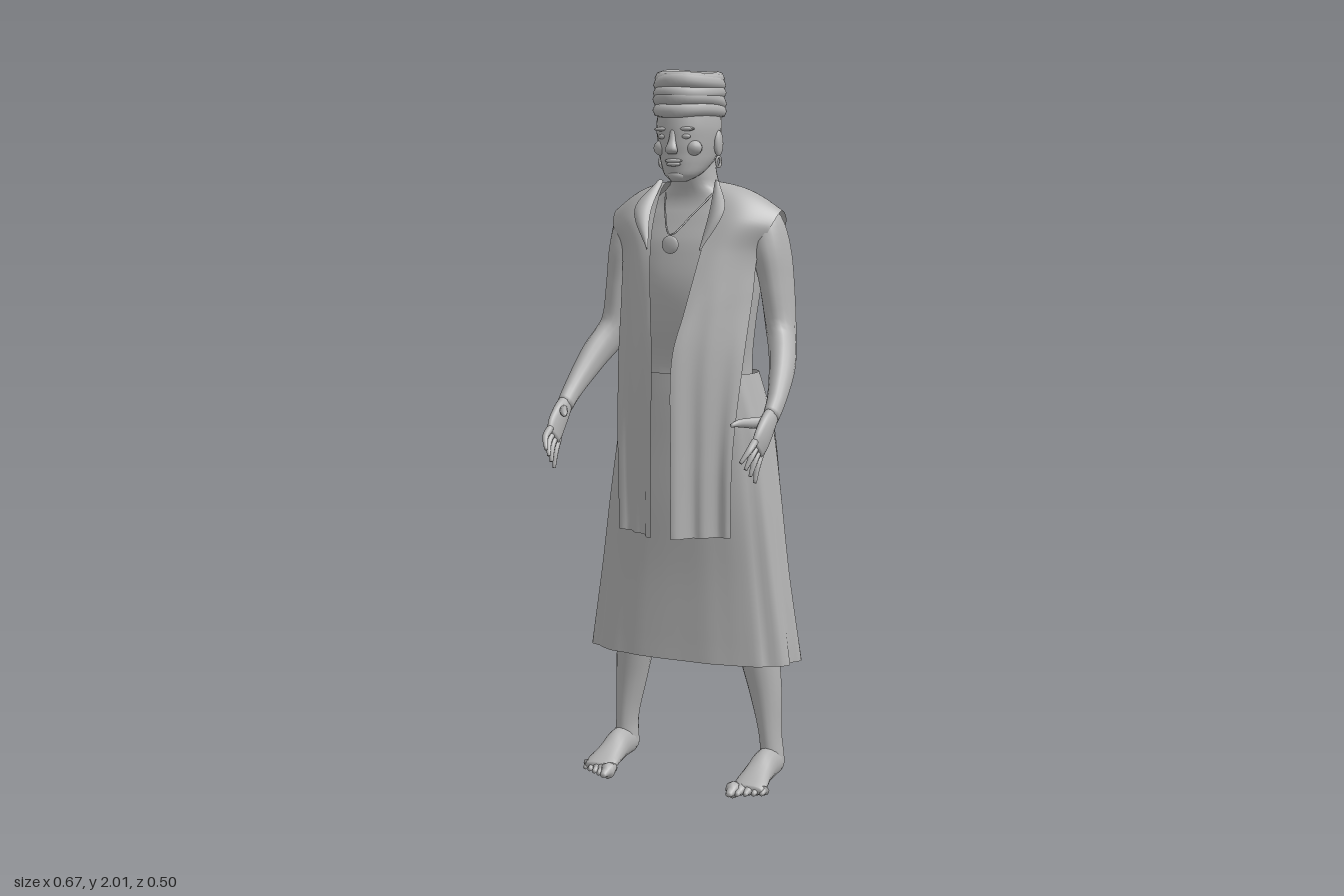
import * as THREE from 'three';

const V = (x, y, z) => new THREE.Vector3(x, y, z);
const grey = new THREE.MeshStandardMaterial({ color: 0xb2b2b2, side: THREE.DoubleSide });
grey.name = 'warm stone grey';

function build(verts, index) {
  const g = new THREE.BufferGeometry();
  g.setAttribute('position', new THREE.Float32BufferAttribute(verts, 3));
  g.setIndex(index);
  g.computeVertexNormals();
  return g;
}

// Smooth body along [x, y, z, radiusAcross, radiusOther] stations.
// flat keeps every ring horizontal, open leaves the ends uncapped, p squares the section.
function limb(pts, { seg = 16, steps = 4, flat = false, open = false, p = 2, warp = null } = {}) {
  const path = new THREE.CatmullRomCurve3(pts.map(q => V(q[0], q[1], q[2])));
  const radii = new THREE.CatmullRomCurve3(pts.map(q => V(q[3], q[4], 0)));
  const rows = (pts.length - 1) * steps, verts = [], index = [];
  const pow = c => Math.sign(c) * Math.abs(c) ** (2 / p);
  for (let j = 0; j <= rows; j++) {
    const t = j / rows, c = path.getPoint(t), r = radii.getPoint(t);
    const dir = flat ? V(0, 1, 0) : path.getTangent(t);
    const s = V(1, 0, 0).addScaledVector(dir, -dir.x).normalize();
    const o = dir.clone().cross(s);
    for (let i = 0; i < seg; i++) {
      const a = i / seg * Math.PI * 2, k = warp ? warp(a, t) : 1;
      const v = c.clone().addScaledVector(s, r.x * k * pow(Math.cos(a)))
        .addScaledVector(o, r.y * k * pow(Math.sin(a)));
      verts.push(v.x, v.y, v.z);
    }
  }
  for (let j = 0; j < rows; j++) for (let i = 0; i < seg; i++) {
    const a = j * seg + i, b = j * seg + (i + 1) % seg;
    index.push(a, b, a + seg, b, b + seg, a + seg);
  }
  if (!open) {
    const n = verts.length / 3, last = rows * seg, a = pts[0], b = pts[pts.length - 1];
    verts.push(a[0], a[1], a[2], b[0], b[1], b[2]);
    for (let i = 0; i < seg; i++) {
      const k = (i + 1) % seg;
      index.push(n, k, i, n + 1, last + i, last + k);
    }
  }
  return build(verts, index);
}

// Cloth stretched between two edge curves, with a bulge [y, z] per row.
function cloth(inner, outer, bulge, nu = 10, nv = 60, fold = 0) {
  const curve = a => new THREE.CatmullRomCurve3(a.map(q => V(...q)));
  const A = curve(inner), B = curve(outer), C = curve(bulge.map(q => [0, ...q]));
  const verts = [], index = [];
  for (let j = 0; j <= nv; j++) for (let i = 0; i <= nu; i++) {
    const t = j / nv, u = i / nu;
    const v = A.getPoint(t).lerp(B.getPoint(t), u).addScaledVector(C.getPoint(t), Math.sin(u * Math.PI));
    v.z += fold * Math.max(0, 1 - t * 2.6) * Math.sin(u * 15);
    verts.push(v.x, v.y, v.z);
    if (i < nu && j < nv) {
      const a = j * (nu + 1) + i, b = a + nu + 1;
      index.push(a, a + 1, b, a + 1, b + 1, b);
    }
  }
  return build(verts, index);
}

export function createModel() {
  const model = new THREE.Group();
  const add = (name, geo, x = 0, y = 0, z = 0) => {
    const m = new THREE.Mesh(geo, grey);
    m.name = name;
    m.position.set(x, y, z);
    model.add(m);
    return m;
  };
  const ball = (name, x, y, z, rx, ry, rz) =>
    add(name, new THREE.SphereGeometry(1, 14, 10), x, y, z).scale.set(rx, ry, rz);

  // Torso and neck
  add('torso', limb([
    [0, 1.08, -.1, .175, .1], [0, 1.18, -.105, .168, .088], [0, 1.3, -.1, .178, .108],
    [0, 1.42, -.105, .193, .122], [0, 1.52, -.115, .2, .115], [0, 1.6, -.12, .18, .09],
    [0, 1.645, -.115, .12, .072], [0, 1.685, -.1, .068, .064], [0, 1.74, -.09, .06, .066],
    [0, 1.8, -.085, .06, .068]], { flat: true, seg: 28, p: 2.2 }));

  // Head and face
  add('head', limb([
    [0, 1.692, .005, .022, .026], [0, 1.712, -.018, .05, .058], [0, 1.75, -.05, .07, .097],
    [0, 1.79, -.058, .079, .109], [0, 1.84, -.062, .085, .114], [0, 1.9, -.065, .08, .11],
    [0, 1.945, -.065, .06, .085], [0, 1.965, -.065, .015, .02]], { flat: true, seg: 24 }));
  add('nose', limb([[0, 1.83, .046, .007, .006], [0, 1.8, .052, .01, .01],
    [0, 1.775, .058, .019, .012], [0, 1.765, .05, .012, .007]], { flat: true, seg: 10 }));
  for (const [y, w] of [[1.747, .026], [1.738, .022]]) ball('lip', 0, y, .043, w, .006, .011);
  ball('chin', 0, 1.708, .025, .025, .016, .017);
  for (const s of [1, -1]) {
    ball('eye', s * .034, 1.812, .038, .014, .007, .009);
    ball('brow', s * .036, 1.832, .038, .024, .006, .013);
    ball('cheek', s * .045, 1.782, .015, .026, .022, .022);
    ball('ear', s * .083, 1.795, -.072, .011, .036, .022);
    const ring = add('earring', new THREE.TorusGeometry(.014, .004, 6, 14), s * .086, 1.745, -.066);
    ring.rotation.y = Math.PI / 2;
  }

  // Head wrap: stacked twisted bands around an open crown
  const bands = [[1.884, .003, .076], [1.908, -.008, .076], [1.932, .006, .075], [1.953, -.007, .074], [1.971, .008, .07]];
  bands.forEach(([y, tilt, rx], k) => {
    const loop = Array.from({ length: 20 }, (_, i) => {
      const a = i / 20 * Math.PI * 2;
      return V(rx * Math.cos(a), y - tilt * Math.sin(a + k * .15) + .002 * Math.sin(3 * a + k),
        -.065 + (rx + .034) * Math.sin(a));
    });
    add('headWrapBand', new THREE.TubeGeometry(new THREE.CatmullRomCurve3(loop, true), 48, .0195, 8, true));
  });

  // Long skirt with folds gathering towards the sides and hem
  add('skirt', limb([
    [0, .35, -.106, .312, .126], [0, .42, -.106, .303, .123], [0, .6, -.104, .278, .117],
    [0, .8, -.109, .254, .127], [0, 1, -.115, .227, .133], [0, 1.1, -.108, .202, .126],
    [0, 1.165, -.1, .185, .116]], {
    flat: true, open: true, seg: 96, steps: 5, p: 2.5,
    warp: (a, t) => 1 + (1 - t) * (.012 + .03 * Math.cos(a) ** 2) * (Math.sin(13 * a + 2 * t) * .6 + Math.sin(22 * a) * .3),
  }));

  for (const s of [1, -1]) {
    const m = pts => pts.map(q => [q[0] * s, ...q.slice(1)]);

    // Arm, hand and fingers
    add('arm', limb(m([
      [.178, 1.605, -.12, .025, .03], [.198, 1.575, -.12, .052, .062], [.22, 1.5, -.128, .05, .078],
      [.237, 1.4, -.13, .044, .072], [.256, 1.28, -.112, .04, .056], [.288, 1.2, -.04, .036, .046],
      [.308, 1.11, .055, .025, .031], [.31, 1.07, .1, .021, .027]])));
    add('palm', limb(m([[.31, 1.08, .09, .02, .024], [.309, 1.05, .125, .019, .036],
      [.307, 1.015, .16, .015, .042], [.303, .99, .182, .011, .036]])));
    for (let i = 0; i < 4; i++) {
      const k = i / 3, y = 1.018 - .035 * k, z = .195 - .045 * k;
      const tip = [.287 + .013 * k, .968 - .062 * k, .252 - .068 * k];
      add('finger', limb(m([[.304, y, z, .01, .011], [.302, (y + tip[1]) / 2 + .006, (z + tip[2]) / 2 + .004, .009, .009],
        [...tip, .005, .005]]), { seg: 8 }));
    }
    add('thumb', limb(m([[.303, 1.06, .12, .012, .016], [.278, 1.062, .165, .012, .014],
      [.258, 1.064, .2, .01, .01], [.247, 1.06, .22, .005, .005]]), { seg: 8 }));

    // Leg, bare foot and toes
    add('leg', limb(m([
      [.12, .85, -.11, .08, .085], [.16, .55, -.11, .066, .07], [.196, .35, -.118, .055, .062],
      [.214, .24, -.125, .044, .055], [.229, .11, -.126, .03, .047], [.232, .05, -.128, .034, .046],
      [.232, .025, -.128, .032, .044]])));
    add('foot', limb(m([
      [.232, .03, -.172, .02, .022], [.232, .04, -.14, .034, .039], [.232, .047, -.08, .036, .047],
      [.231, .035, -.02, .041, .034], [.233, .022, .035, .048, .02], [.234, .015, .062, .042, .013]])));
    for (let i = 0; i < 5; i++) {
      const x = .194 + .02 * i, r = i ? .0095 : .014, z = .106 - .011 * i;
      add('toe', limb(m([[x, .015, .04, r, r], [x + .001, .014, z - .018, r, r], [x + .001, .009, z, r * .6, .006]]), { seg: 8 }));
    }

    // Open vest: hanging front panel, shoulder cap and back yoke
    add('vestHalf', cloth(
      m([[.03, .72, .13], [.03, .95, .13], [.03, 1.22, .12], [.05, 1.34, .085], [.075, 1.5, .032],
        [.085, 1.6, -.018], [.075, 1.688, -.07], [.058, 1.668, -.175], [0, 1.6, -.228], [0, 1.41, -.238]]),
      m([[.17, .72, .035], [.175, .95, .035], [.19, 1.2, 0], [.2, 1.38, -.04], [.208, 1.5, -.06],
        [.24, 1.57, -.07], [.252, 1.612, -.12], [.24, 1.58, -.185], [.2, 1.52, -.218], [.1, 1.46, -.238]]),
      [[0, -.012], [0, -.008], [0, .006], [0, .018], [0, .022], [.006, .022], [.016, 0], [.012, -.016], [0, -.018], [0, -.003]],
      18, 80, .008));
    // Folded lapel
    add('lapel', cloth(
      m([[.078, 1.695, -.06], [.088, 1.61, .002], [.077, 1.51, .045]]),
      m([[.095, 1.69, -.05], [.135, 1.615, .008], [.08, 1.505, .045]]),
      [[.004, .004], [0, .012], [0, .002]], 5, 14));
  }

  // Neck cord with a round pendant and a knot at the nape
  const cord = [V(-.075, 1.665, -.07), V(-.045, 1.61, .0), V(0, 1.548, .062), V(.045, 1.61, .0), V(.075, 1.665, -.07)];
  add('neckCord', new THREE.TubeGeometry(new THREE.CatmullRomCurve3(cord), 32, .0025, 6));
  ball('pendant', 0, 1.522, .065, .025, .025, .008);
  for (const s of [1, -1]) {
    const bow = add('napeKnotLoop', new THREE.TorusGeometry(.02, .006, 6, 14), s * .024, 1.625, -.222);
    bow.scale.y = .55;
    bow.rotation.z = s * .4;
  }
  ball('napeKnot', 0, 1.618, -.222, .01, .01, .009);
  return model;
}
